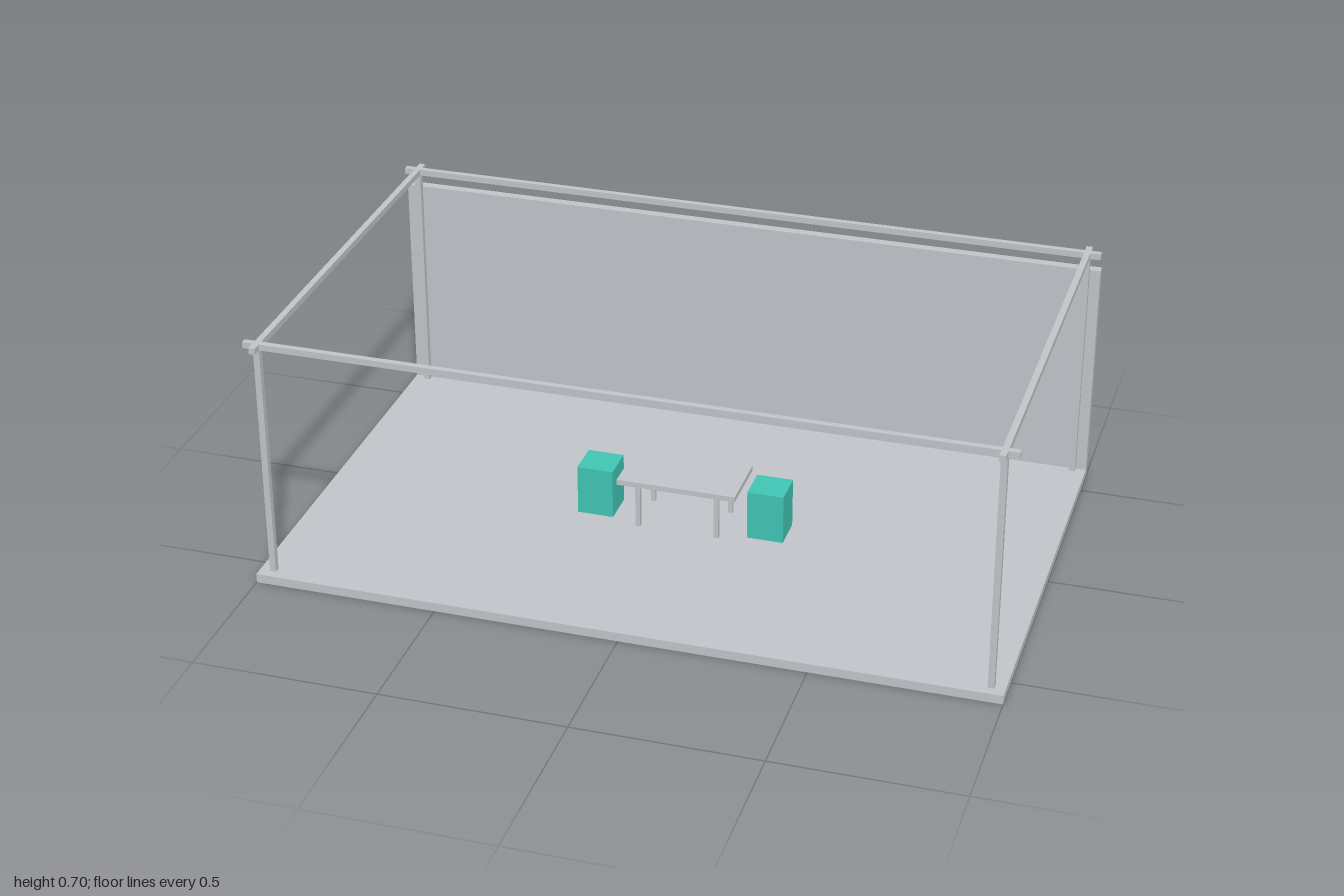
import * as THREE from 'three';

export function createModel() {
  const model = new THREE.Group();
  const grey = new THREE.MeshStandardMaterial({ color: 0xc0c3c8 });
  grey.name = 'light grey';
  const teal = new THREE.MeshStandardMaterial({ color: 0x40c4b4 });
  teal.name = 'teal';

  // box given by its size, its centre in x and z, and its underside height
  function addBox(parent, name, material, [w, h, d], [x, bottom, z]) {
    const mesh = new THREE.Mesh(new THREE.BoxGeometry(w, h, d), material);
    mesh.name = name;
    mesh.position.set(x, bottom + h / 2, z);
    parent.add(mesh);
  }

  const floorTop = 0.025;
  const height = 0.7;
  const bar = 0.017;
  const postX = 0.963;
  const postZ = 0.566;
  const sides = [-1, 1];

  // floor slab and back wall
  addBox(model, 'floor', grey, [2, floorTop, 1.2], [0, 0, 0]);
  addBox(model, 'backWall', grey, [2, 0.642, 0.026], [0, 0, -0.587]);

  // open frame: four posts and overhanging top rails
  const frame = new THREE.Group();
  frame.name = 'frame';
  model.add(frame);
  for (const sx of sides) {
    for (const sz of sides) {
      addBox(frame, 'post', grey, [bar, height - floorTop, bar], [sx * postX, floorTop, sz * postZ]);
    }
    addBox(frame, 'sideRail', grey, [bar, bar, 1.2], [sx * postX, height - bar, 0]);
  }
  for (const sz of sides) {
    addBox(frame, 'longRail', grey, [2, bar, bar], [0, height - bar, sz * postZ]);
  }

  // table
  const table = new THREE.Group();
  table.name = 'table';
  model.add(table);
  addBox(table, 'tableTop', grey, [0.33, 0.015, 0.177], [0, 0.152, 0]);
  for (const sx of sides) {
    for (const sz of sides) {
      addBox(table, 'tableLeg', grey, [0.013, 0.127, 0.013], [sx * 0.11, floorTop, sz * 0.07]);
    }
  }

  // block stools at both ends of the table
  for (const sx of sides) {
    addBox(model, 'stool', teal, [0.1, 0.14, 0.1], [sx * 0.239, floorTop, 0]);
  }
  return model;
}
